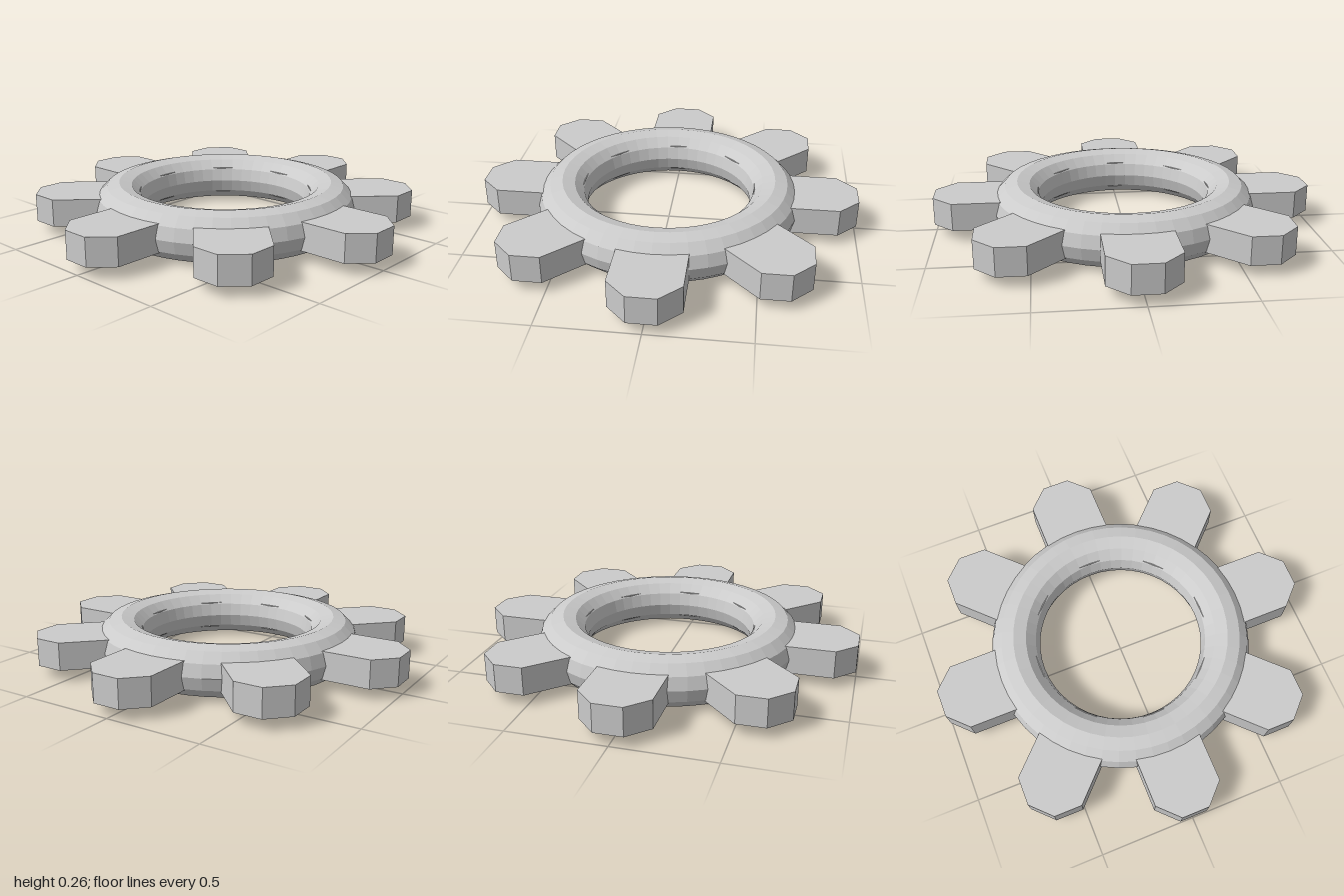
import * as THREE from 'three';

export function createModel() {
  const group = new THREE.Group();
  const material = new THREE.MeshStandardMaterial({ color: 0xcccccc, flatShading: true });
  const centreY = 0.13;

  // Faceted ring lying flat
  const ringGeometry = new THREE.TorusGeometry(0.565, 0.13, 12, 48);
  ringGeometry.rotateX(-Math.PI / 2);
  const ring = new THREE.Mesh(ringGeometry, material);
  ring.name = 'ring';
  ring.position.y = centreY;
  group.add(ring);

  // Tooth: a stretched octagon whose inner end is buried in the ring
  const half = 0.175, flat = 0.0725, inner = 0.455, outer = 1, thickness = 0.145;
  const chamfer = half - flat;
  const outline = new THREE.Shape([
    [inner, -flat], [inner + chamfer, -half], [outer - chamfer, -half], [outer, -flat],
    [outer, flat], [outer - chamfer, half], [inner + chamfer, half], [inner, flat],
  ].map(([x, y]) => new THREE.Vector2(x, y)));
  const toothGeometry = new THREE.ExtrudeGeometry(outline, { depth: thickness, bevelEnabled: false });
  toothGeometry.translate(0, 0, -thickness / 2);
  toothGeometry.rotateX(-Math.PI / 2);

  // Eight teeth around the ring
  const teeth = new THREE.Group();
  teeth.name = 'teeth';
  for (let i = 0; i < 8; i++) {
    const tooth = new THREE.Mesh(toothGeometry, material);
    tooth.name = `tooth${i + 1}`;
    tooth.position.y = centreY;
    tooth.rotation.y = (i * Math.PI) / 4;
    teeth.add(tooth);
  }
  group.add(teeth);

  return group;
}
